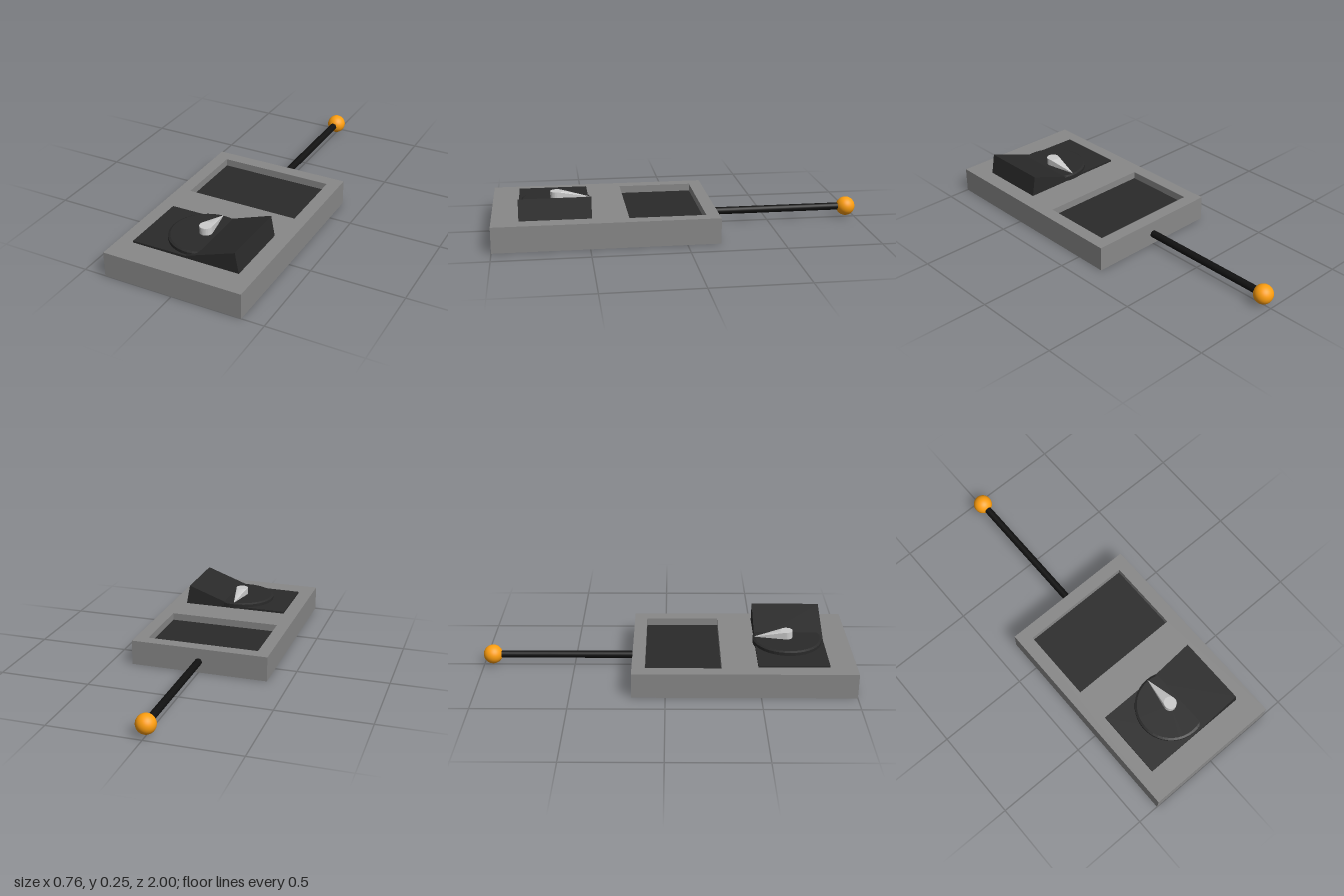
import * as THREE from 'three';
import { ConvexGeometry } from 'three/addons/geometries/ConvexGeometry.js';

const mat = (color, flat = false) => new THREE.MeshStandardMaterial({ color, flatShading: flat });

export function createModel() {
  const group = new THREE.Group();
  const add = (name, geometry, material, x = 0, y = 0, z = 0) => {
    const mesh = new THREE.Mesh(geometry, material);
    mesh.name = name;
    mesh.position.set(x, y, z);
    group.add(mesh);
    return mesh;
  };
  const grey = mat(0x888888), dark = mat(0x2a2a2a), black = mat(0x111111);
  const top = 0.137, floor = 0.095;

  // Case: solid lower slab and an upper frame with the screen window
  add('caseBase', new THREE.BoxGeometry(0.76, floor, 1.176), grey, 0, floor / 2, 0.412);
  const rect = (Type, x, z0, z1) => new Type([[-x, -z1], [x, -z1], [x, -z0], [-x, -z0]]
    .map(p => new THREE.Vector2(...p)));
  const frame = rect(THREE.Shape, 0.38, -0.176, 1);
  frame.holes.push(rect(THREE.Path, 0.31, -0.107, 0.294));
  const frameGeo = new THREE.ExtrudeGeometry(frame, { depth: top - floor, bevelEnabled: false });
  add('caseFrame', frameGeo.rotateX(-Math.PI / 2), grey, 0, floor, 0);

  // Recessed screen
  add('screen', new THREE.BoxGeometry(0.62, 0.004, 0.401), dark, 0, floor, 0.0935);

  // Control panel: thin plate rising into a ramp on the left
  const ramp = new THREE.Shape([[-0.3, top], [0.293, top], [0.273, 0.248], [0, 0.15], [-0.3, 0.147]]
    .map(p => new THREE.Vector2(...p)));
  add('controlRamp', new THREE.ExtrudeGeometry(ramp, { depth: 0.374, bevelEnabled: false }), dark, 0, 0, 0.485);

  // Dial with a chamfered rim, partly sunk into the ramp
  const dialProfile = [[0.187, 0], [0.187, 0.025], [0.176, 0.031], [0, 0.031]]
    .map(p => new THREE.Vector2(...p));
  add('dial', new THREE.LatheGeometry(dialProfile, 40), mat(0x2a2a2a, true), 0, 0.14, 0.661);

  // Pointer knob: round post drawn out to a low tip at the back
  const points = [new THREE.Vector3(0, 0.002, -0.178)];
  for (let i = 0; i < 24; i++) {
    const a = i / 24 * Math.PI * 2;
    for (const y of [0, 0.04]) points.push(new THREE.Vector3(0.034 * Math.cos(a), y, 0.034 * Math.sin(a)));
  }
  add('pointerKnob', new ConvexGeometry(points), mat(0xcccccc, true), 0, 0.17, 0.657);

  // Antenna rod and ball tip
  add('antennaRod', new THREE.CylinderGeometry(0.02, 0.02, 0.78, 24).rotateX(Math.PI / 2), black, 0, 0.062, -0.55);
  add('antennaBall', new THREE.SphereGeometry(0.052, 32, 20), mat(0xff9f10), 0, 0.062, -0.948);

  return group;
}
